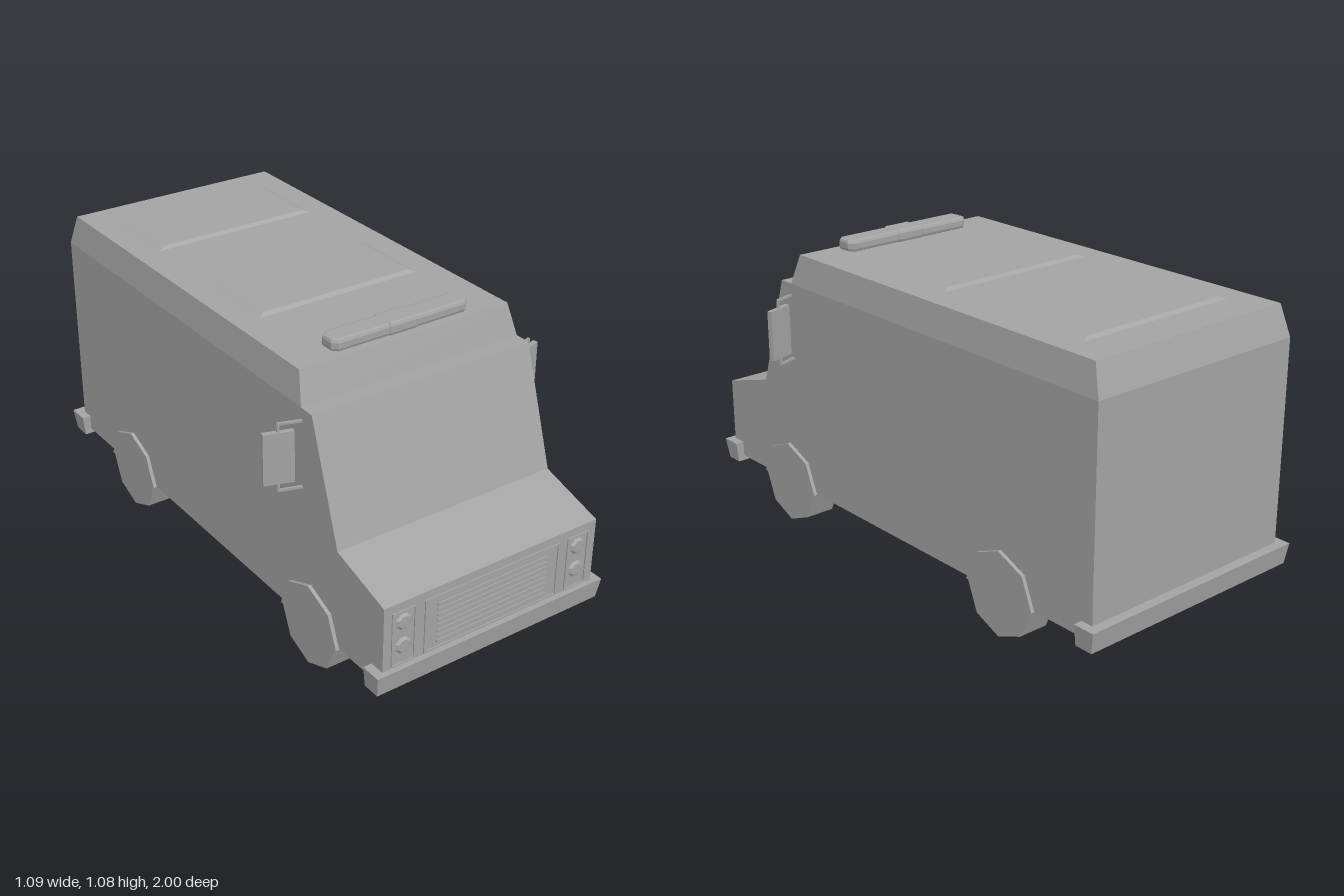
import * as THREE from 'three';

export function createModel() {
  const van = new THREE.Group();
  van.name = 'stepVan';
  const paint = new THREE.MeshStandardMaterial({ color: 0xa3a3a3, flatShading: true });
  paint.name = 'plainGrey';

  function add(name, geometry, x = 0, y = 0, z = 0, parent = van) {
    const mesh = new THREE.Mesh(geometry, paint);
    mesh.name = name;
    mesh.position.set(x, y, z);
    parent.add(mesh);
    return mesh;
  }
  const shapeOf = (points) => new THREE.Shape(points.map(([a, b]) => new THREE.Vector2(a, b)));

  // Side profile of [z, y] points, swept across x
  function prism(points, width) {
    const g = new THREE.ExtrudeGeometry(shapeOf(points), { depth: width, bevelEnabled: false });
    return g.rotateY(-Math.PI / 2).translate(width / 2, 0, 0);
  }

  // Box whose top and bottom differ: [half width, back z, front z]
  function taperedBox(y0, y1, bottom, top) {
    const g = new THREE.BoxGeometry(2, 1, 2);
    const p = g.attributes.position;
    for (let i = 0; i < p.count; i++) {
      const high = p.getY(i) > 0;
      const [hw, back, front] = high ? top : bottom;
      p.setXYZ(i, p.getX(i) * hw, high ? y1 : y0, p.getZ(i) > 0 ? front : back);
    }
    g.computeVertexNormals();
    return g;
  }

  // Bevelled slab lying flat, with clipped corners
  function slab(hw, hd, height, corner, bevel) {
    const s = shapeOf([
      [hw - corner, -hd], [hw, -hd + corner], [hw, hd - corner], [hw - corner, hd],
      [-hw + corner, hd], [-hw, hd - corner], [-hw, -hd + corner], [-hw + corner, -hd],
    ]);
    const g = new THREE.ExtrudeGeometry(s, {
      depth: height - 2 * bevel, bevelThickness: bevel, bevelSize: bevel,
      bevelOffset: -bevel, bevelSegments: 2,
    });
    return g.translate(0, 0, bevel).rotateX(-Math.PI / 2);
  }

  // Thin rectangular frame facing front
  function frame(hw, hh, rim) {
    const s = shapeOf([[-hw, -hh], [hw, -hh], [hw, hh], [-hw, hh]]);
    const a = hw - rim, b = hh - rim;
    s.holes.push(new THREE.Path([[-a, -b], [-a, b], [a, b], [a, -b]].map((p) => new THREE.Vector2(...p))));
    return new THREE.ExtrudeGeometry(s, { depth: 0.004, bevelEnabled: false });
  }

  // Body and tapered roof
  add('body', prism([
    [-0.965, 0.15], [0.98, 0.15], [0.98, 0.44], [0.742, 0.51], [0.605, 0.922], [-0.965, 0.922],
  ], 0.85));
  add('roof', taperedBox(0.922, 1.03, [0.425, -0.965, 0.548], [0.407, -0.932, 0.512]));
  for (const z of [0, -0.64]) {
    add('roofHatch', taperedBox(1.03, 1.04, [0.315, z - 0.153, z + 0.153], [0.29, z - 0.14, z + 0.14]));
  }

  // Roof light bar
  add('lightBar', slab(0.265, 0.042, 0.043, 0.018, 0.012), 0, 1.03, 0.45);
  add('lightBarCentre', slab(0.055, 0.046, 0.046, 0.004, 0.012), 0, 1.03, 0.45);

  // Bumpers
  add('frontBumper', taperedBox(0.13, 0.205, [0.449, 0.925, 0.988], [0.457, 0.925, 1.0]));
  add('rearBumper', taperedBox(0.13, 0.205, [0.449, -0.988, -0.92], [0.457, -1.0, -0.92]));

  // Grille
  add('grilleFrame', frame(0.27, 0.1, 0.006), 0, 0.31, 0.98);
  for (let i = 0; i < 8; i++) {
    add('grilleSlat', new THREE.BoxGeometry(0.44, 0.008, 0.004), 0, 0.235 + i * 0.02, 0.982);
  }

  for (const side of [1, -1]) {
    // Paired headlights
    add('headlightFrame', frame(0.045, 0.1, 0.005), side * 0.35, 0.31, 0.98);
    for (const y of [0.278, 0.367]) {
      const lamp = new THREE.CylinderGeometry(0.022, 0.032, 0.008, 8);
      add('headlight', lamp.rotateY(Math.PI / 8).rotateX(Math.PI / 2), side * 0.35, y, 0.983);
    }

    // Wheels and arch rims
    for (const z of [0.6, -0.557]) {
      const wheel = new THREE.CylinderGeometry(0.147, 0.147, 0.111, 8).rotateZ(Math.PI / 2);
      add('wheel', wheel, side * 0.3805, 0.147, z);
      const rim = [];
      for (let i = 0; i <= 4; i++) {
        const a = (i * Math.PI) / 4;
        rim.push([Math.cos(a) * 0.156, Math.sin(a) * 0.156]);
      }
      for (let i = 4; i >= 0; i--) {
        const a = (i * Math.PI) / 4;
        rim.push([Math.cos(a) * 0.146, Math.sin(a) * 0.146]);
      }
      add('wheelArch', prism(rim, 0.02), side * 0.428, 0.148, z);
    }

    // Door mirror, swept back on two bracket arms
    const mirror = new THREE.Group();
    mirror.name = 'doorMirror';
    mirror.position.set(side * 0.496, 0.762, 0.528);
    mirror.rotation.y = side * 0.32;
    van.add(mirror);
    add('mirrorHead', new THREE.BoxGeometry(0.1, 0.18, 0.018), 0, 0, 0, mirror);
    for (const v of [1, -1]) {
      add('mirrorArm', new THREE.BoxGeometry(0.084, 0.008, 0.008), side * -0.038, v * 0.117, 0, mirror);
      add('mirrorPost', new THREE.BoxGeometry(0.008, 0.036, 0.008), 0, v * 0.103, 0, mirror);
    }
  }
  return van;
}
